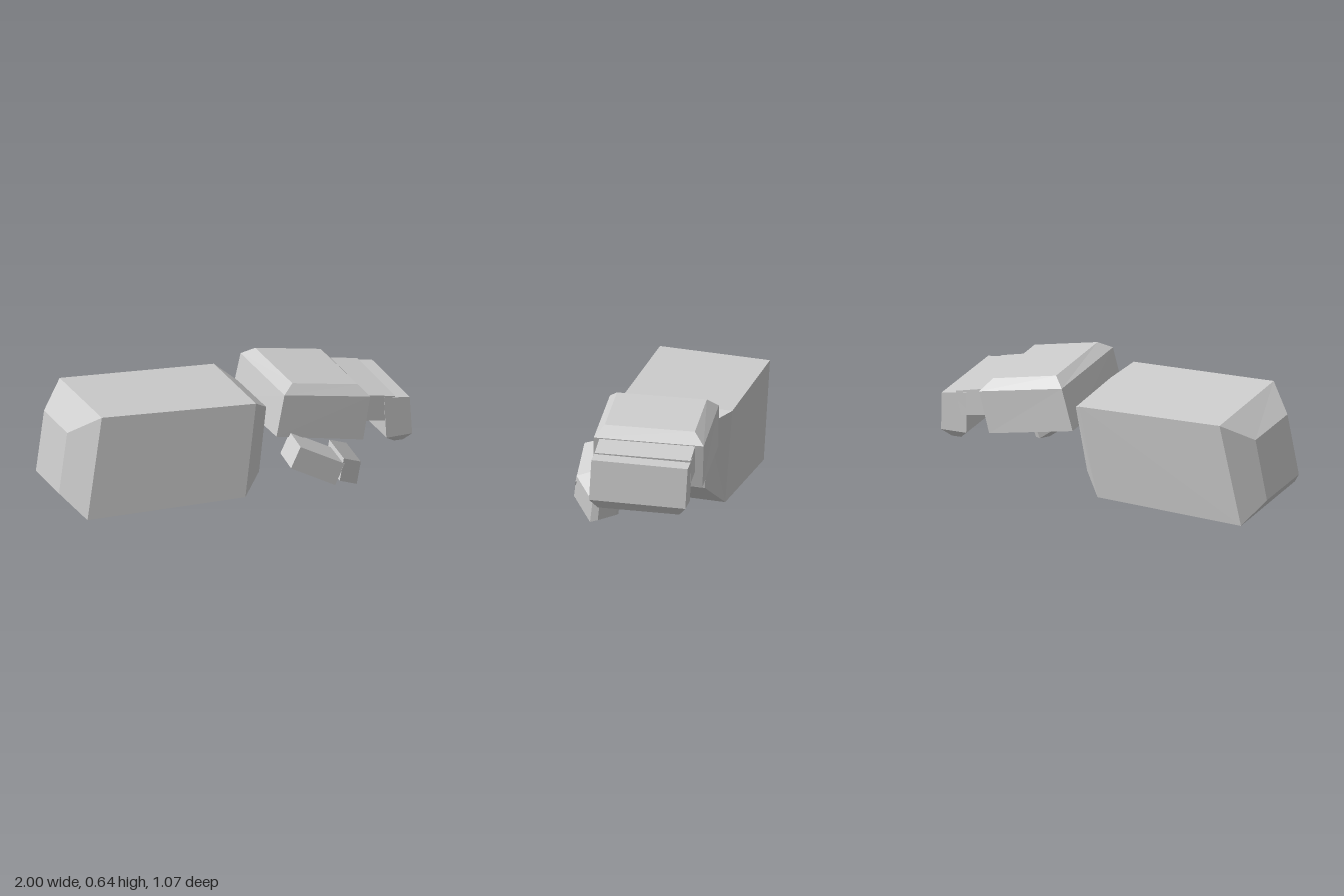
import * as THREE from 'three';

const metal = new THREE.MeshStandardMaterial({ color: 0xcccccc, flatShading: true });
metal.name = 'lightGrey';

// Skin a closed solid through four-cornered cross-sections, capped at both ends.
function loft(name, rings) {
  const tris = [];
  const quad = (a, b, c, d) => tris.push([a, b, c], [a, c, d]);
  for (let r = 0; r < rings.length - 1; r++) {
    for (let i = 0; i < 4; i++) {
      const j = (i + 1) % 4;
      quad(rings[r][i], rings[r][j], rings[r + 1][j], rings[r + 1][i]);
    }
  }
  const last = rings[rings.length - 1];
  quad(...[...rings[0]].reverse());
  quad(...last);

  // Signed volume tells whether the corners run the right way round.
  const vec = (p) => new THREE.Vector3(...p);
  const volume = tris.reduce((s, [a, b, c]) => s + vec(a).dot(vec(b).cross(vec(c))), 0);
  if (volume < 0) tris.forEach((t) => t.reverse());

  const geometry = new THREE.BufferGeometry();
  geometry.setAttribute('position', new THREE.Float32BufferAttribute(tris.flat(2), 3));
  geometry.computeVertexNormals();
  const mesh = new THREE.Mesh(geometry, metal);
  mesh.name = name;
  return mesh;
}

// Shift a list of points.
const sweep = (points, [dx, dy, dz]) => points.map(([x, y, z]) => [x + dx, y + dy, z + dz]);

// Close a two-point edge into a four-cornered section by sweeping it.
const section = (edge, offset) => [...edge, ...sweep(edge, offset).reverse()];

export function createModel() {
  const model = new THREE.Group();
  model.name = 'armoredForearm';

  // Forearm: long box with a bevelled elbow end and wrist end
  model.add(loft('forearm', [
    [[-0.94, 0.52, -0.11], [-1.0, 0.18, -0.10], [-0.92, 0.15, -0.43], [-0.86, 0.49, -0.44]],
    [[-0.82, 0.64, 0.04], [-0.93, 0.07, 0.065], [-0.80, 0.02, -0.51], [-0.69, 0.59, -0.54]],
    [[0.02, 0.57, 0.265], [-0.07, 0.05, 0.295], [0.06, 0.0, -0.28], [0.15, 0.52, -0.315]],
    [[0.13, 0.49, 0.20], [0.07, 0.13, 0.22], [0.15, 0.10, -0.17], [0.21, 0.46, -0.18]],
  ]));

  const hand = new THREE.Group();
  hand.name = 'hand';
  model.add(hand);

  // Palm: block with a bevelled back of the hand
  hand.add(loft('palm', [
    [[0.10, 0.38, 0.34], [0.59, 0.26, 0.44], [0.70, 0.24, -0.14], [0.21, 0.345, -0.24]],
    [[0.155, 0.61, 0.335], [0.64, 0.50, 0.435], [0.755, 0.475, -0.145], [0.27, 0.58, -0.24]],
    [[0.23, 0.645, 0.30], [0.60, 0.56, 0.375], [0.69, 0.54, -0.10], [0.32, 0.625, -0.175]],
  ]));

  // Knuckles: slab joining palm and fingers
  const knuckleFront = [[0.64, 0.495, 0.405], [0.80, 0.455, 0.435], [0.77, 0.32, 0.435], [0.61, 0.35, 0.405]];
  hand.add(loft('knuckles', [knuckleFront, sweep(knuckleFront, [0.105, -0.022, -0.505])]));

  // Fingers: downward block with bevelled tips
  const across = [0.108, -0.027, -0.508];
  hand.add(loft('fingers', [
    section([[0.735, 0.46, 0.425], [0.88, 0.435, 0.455]], across),
    section([[0.74, 0.225, 0.44], [0.887, 0.22, 0.468]], across),
    [[0.81, 0.175, 0.41], [0.86, 0.172, 0.42], [0.945, 0.15, -0.01], [0.89, 0.152, -0.02]],
  ]));

  // Thumb: two tilted segments
  const thumb = new THREE.Group();
  thumb.name = 'thumb';
  hand.add(thumb);
  const base = section([[0.165, 0.355, 0.47], [0.102, 0.247, 0.472]], [0.018, 0.032, -0.125]);
  thumb.add(loft('thumbBase', [base, sweep(base, [0.247, -0.15, 0.055])]));

  const tip = section([[0.41, 0.235, 0.52], [0.375, 0.117, 0.532]], [0.01, 0.045, -0.15]);
  thumb.add(loft('thumbTip', [
    tip,
    sweep(tip, [0.165, -0.103, -0.08]),
    section([[0.591, 0.107, 0.405], [0.569, 0.031, 0.412]], [0.006, 0.029, -0.096]),
  ]));

  return model;
}
